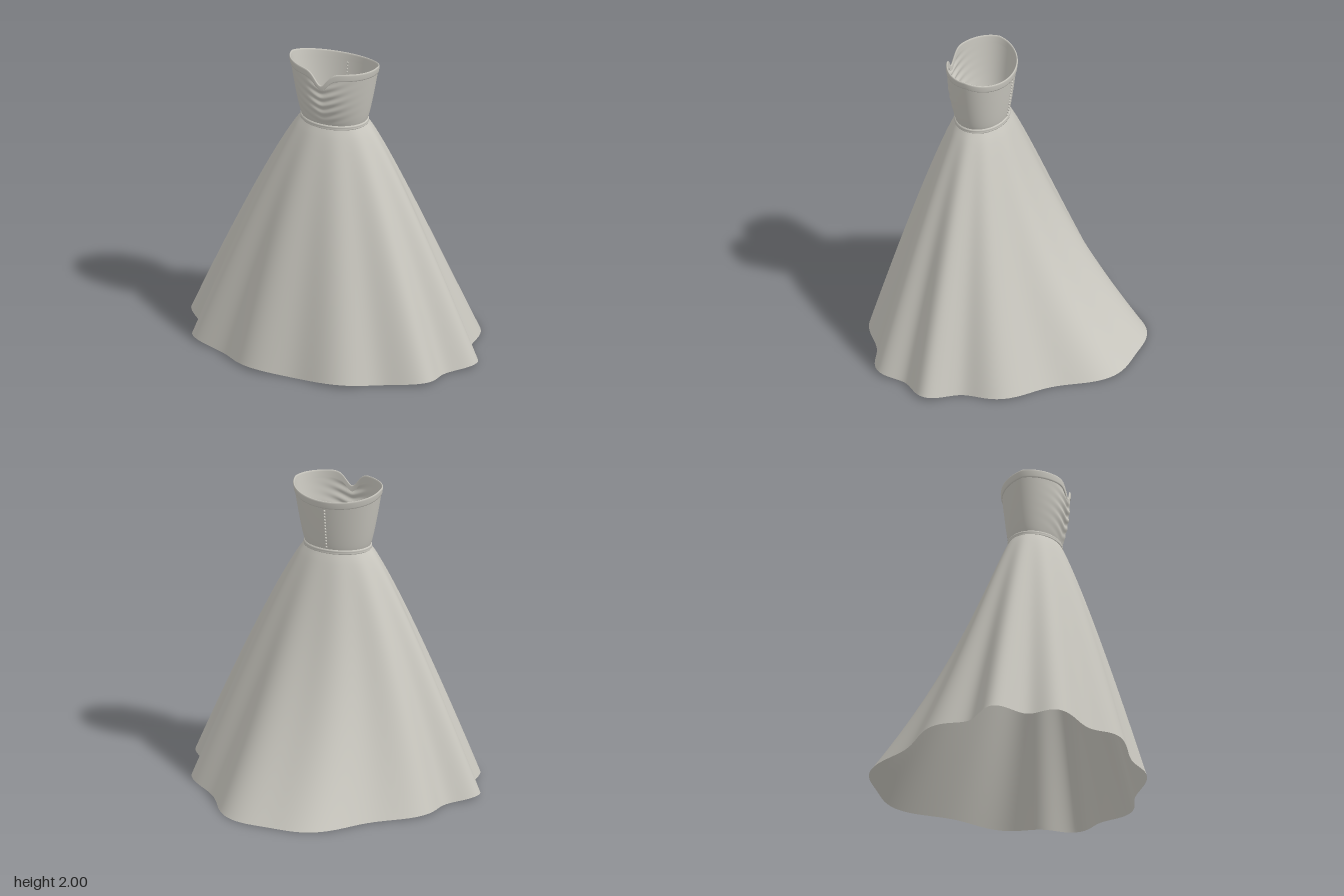
import * as THREE from 'three';

const CZ = 0.19;      // z of the waist axis
const WAIST = 1.58;   // height where the skirt starts

const fabric = new THREE.MeshStandardMaterial({ color: 0xc8c6be, side: THREE.DoubleSide });
fabric.name = 'warm grey fabric';

// Closed ring surface: fn(angle, v) gives a point, v runs from bottom (0) to top (1)
function ringSurface(name, nu, nv, fn) {
  const pos = [], idx = [];
  for (let j = 0; j <= nv; j++) {
    for (let i = 0; i < nu; i++) pos.push(...fn((i / nu) * Math.PI * 2, j / nv));
  }
  for (let j = 0; j < nv; j++) {
    for (let i = 0; i < nu; i++) {
      const a = j * nu + i, b = j * nu + (i + 1) % nu;
      idx.push(a, a + nu, b, b, a + nu, b + nu);
    }
  }
  const geo = new THREE.BufferGeometry();
  geo.setAttribute('position', new THREE.Float32BufferAttribute(pos, 3));
  geo.setIndex(idx);
  geo.computeVertexNormals();
  const mesh = new THREE.Mesh(geo, fabric);
  mesh.name = name;
  return mesh;
}

// Ten-fold flared skirt with a train sweeping out at the back
function skirtPoint(a, v) {
  const t = 1 - v, f = Math.pow(t, 0.87);
  const c = Math.cos(a), s = Math.sin(a), wave = Math.cos(10 * a);
  const fold = 1 - (0.035 + 0.015 * c * c) * Math.pow(t, 0.6) * (1 - wave);
  const rx = THREE.MathUtils.lerp(0.225, 1, f) * fold;
  const rz = THREE.MathUtils.lerp(0.165, 0.69, f) * fold;
  const train = s < 0 ? 0.415 * Math.pow(-s, 3.3) * Math.pow(t, 2.3) : 0;
  const hem = (0.01 + 0.01 * wave) * (1 - Math.max(0, -s)) * t;
  return [rx * c, WAIST * v + hem, CZ + rz * s - train];
}

// Bodice wall: widening upward, fuller at the front, with draped chevron folds
function bodicePoint(a, y, offset = 0, drape = 1) {
  const c = Math.cos(a), s = Math.sin(a);
  const h = THREE.MathUtils.clamp((y - 1.6) / 0.4, 0, 1), g = Math.pow(h, 0.8);
  const front = Math.max(0, s);
  const x = (0.22 + 0.08 * g + offset) * c;
  let z = CZ + (0.165 + 0.05 * g + offset) * s + 0.017 * Math.sin(Math.PI * h) * front * front;
  if (s > 0) {
    const rise = 0.45 * (Math.sqrt(x * x + 0.0006) - 0.0245);
    const fade = Math.exp(-Math.pow(x / 0.12, 2)) * Math.sin(Math.PI * h);
    z += drape * 0.006 * fade * Math.sin((y - rise) * Math.PI * 2 / 0.06);
  }
  return [x, y, z];
}

// Neckline: sweetheart dip at the front, sloping down to the back
function neckline(a, dip = 0.095) {
  const x = 0.3 * Math.cos(a), s = Math.sin(a);
  return s < 0 ? 2 + 0.055 * s : 2 - dip * Math.exp(-Math.pow(x / 0.06, 2));
}
const trimBottom = (a) => neckline(a, 0.082) - 0.053;

export function createModel() {
  const dress = new THREE.Group();
  dress.name = 'strapless gown';

  dress.add(ringSurface('skirt', 240, 48, skirtPoint));

  dress.add(ringSurface('bodice', 160, 60, (a, v) =>
    bodicePoint(a, THREE.MathUtils.lerp(1.59, neckline(a) - 0.005, v))));

  // Rounded band folded over the neckline
  const trimProfile = [[0, 0], [0.006, 0.04], [0.008, 0.2], [0.008, 0.8], [0.006, 0.95],
    [0.002, 1], [-0.002, 0.97], [-0.003, 0.8], [-0.003, 0]];
  dress.add(ringSurface('necklineTrim', 160, trimProfile.length - 1, (a, v) => {
    const [o, k] = trimProfile[Math.round(v * (trimProfile.length - 1))];
    return bodicePoint(a, THREE.MathUtils.lerp(trimBottom(a), neckline(a), k), o - 0.003, 0);
  }));

  // Piped waistband
  const bandProfile = [[0, 1.571], [0.006, 1.574], [0.007, 1.58], [0.004, 1.585],
    [0.007, 1.59], [0.006, 1.597], [0, 1.602]];
  dress.add(ringSurface('waistband', 120, bandProfile.length - 1, (a, v) => {
    const [o, y] = bandProfile[Math.round(v * (bandProfile.length - 1))];
    return [(0.222 + o) * Math.cos(a), y, CZ + (0.166 + o) * Math.sin(a)];
  }));

  // Row of small buttons down the centre back
  const buttons = new THREE.Group();
  buttons.name = 'backButtons';
  const buttonGeo = new THREE.SphereGeometry(0.007, 10, 8);
  for (let i = 0; i < 13; i++) {
    const button = new THREE.Mesh(buttonGeo, fabric);
    button.name = 'button';
    button.position.set(...bodicePoint(-Math.PI / 2, 1.618 + i * 0.0215, 0.003));
    buttons.add(button);
  }
  dress.add(buttons);

  return dress;
}
